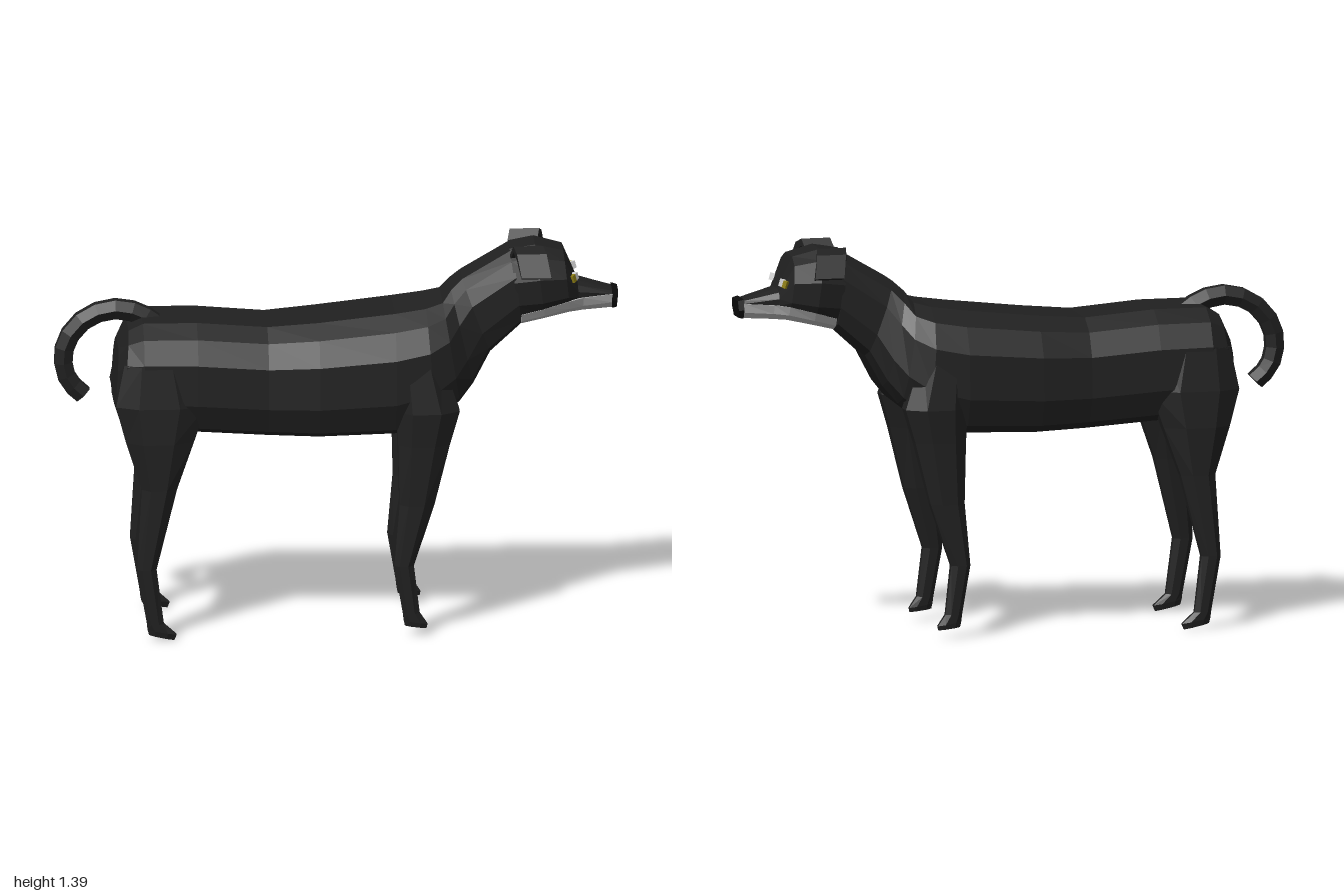
import * as THREE from 'three';

const paint = (color) => new THREE.MeshStandardMaterial({ color, flatShading: true });
const coat = paint(0x202020), pale = paint(0xb4b4b4), black = paint(0x0c0c0c);
const yellow = paint(0x8c7d14), white = paint(0xd8d8d8);

// Skin a row of equal-length rings of [x, y, z] points and cap both ends.
function loft(name, rings, material) {
  const n = rings[0].length, points = rings.flat(), index = [];
  rings.forEach((ring, r) => {
    if (r === rings.length - 1) return;
    for (let i = 0; i < n; i++) {
      const a = r * n + i, b = r * n + (i + 1) % n;
      index.push(a, b, a + n, b, b + n, a + n);
    }
  });
  const last = (rings.length - 1) * n;
  for (let i = 1; i < n - 1; i++) {
    index.push(0, i + 1, i, last, last + i, last + i + 1);
  }
  // Turn the faces outward whichever way the rings run
  const v = points.map((p) => new THREE.Vector3(...p));
  const origin = v[0];
  let volume = 0;
  for (let i = 0; i < index.length; i += 3) {
    const [a, b, c] = [0, 1, 2].map((k) => v[index[i + k]].clone().sub(origin));
    volume += a.dot(b.cross(c));
  }
  if (volume < 0) index.reverse();
  const geometry = new THREE.BufferGeometry().setFromPoints(v);
  geometry.setIndex(index);
  const flat = geometry.toNonIndexed();
  flat.computeVertexNormals();
  const mesh = new THREE.Mesh(flat, material);
  mesh.name = name;
  return mesh;
}

// Symmetric ring standing between a bottom and a top point; profile is [width, height] fractions.
function ribs(sections, profile) {
  return sections.map(([xb, yb, xt, yt, w]) => {
    const half = profile.map(([s, t]) => [xb + (xt - xb) * t, yb + (yt - yb) * t, s * w]);
    return [...half, ...half.slice().reverse().map(([x, y, z]) => [x, y, -z])];
  });
}

// Chamfered horizontal rings for a limb: y, back x, front x, inner z, outer z, slope.
function limb(name, sections, side) {
  const corners = [[0, 0.3], [0, 0.7], [0.25, 1], [0.7, 1], [1, 0.7], [1, 0.3], [0.7, 0], [0.25, 0]];
  return loft(name, sections.map(([y, x0, x1, z0, z1, drop = 0]) =>
    corners.map(([u, v]) => [x0 + (x1 - x0) * u, y - drop * u, side * (z0 + (z1 - z0) * v)])), coat);
}

export function createModel() {
  const dog = new THREE.Group();
  dog.name = 'dog';

  // Trunk, from rump to shoulders and up the neck
  dog.add(loft('body', ribs([
    [-0.79, 0.83, -0.775, 1.04, 0.15],
    [-0.77, 0.77, -0.74, 1.11, 0.2],
    [-0.69, 0.745, -0.69, 1.14, 0.23],
    [-0.5, 0.735, -0.5, 1.14, 0.23],
    [-0.25, 0.718, -0.25, 1.12, 0.225],
    [-0.07, 0.712, -0.07, 1.135, 0.245],
    [0.2, 0.72, 0.2, 1.165, 0.25],
    [0.34, 0.76, 0.31, 1.18, 0.242],
    [0.43, 0.83, 0.37, 1.195, 0.21],
    [0.48, 0.89, 0.4, 1.235, 0.165],
    [0.54, 1.0, 0.44, 1.27, 0.135],
    [0.65, 1.1, 0.62, 1.375, 0.13],
  ], [[0.52, 0], [0.86, 0.08], [1, 0.3], [0.98, 0.66], [0.8, 0.87], [0.5, 0.98]]), coat));

  // Skull and upper snout
  dog.add(loft('head', ribs([
    [0.64, 1.13, 0.61, 1.37, 0.13],
    [0.73, 1.14, 0.7, 1.385, 0.145],
    [0.82, 1.165, 0.8, 1.36, 0.125],
    [0.855, 1.175, 0.85, 1.245, 0.082],
    [0.975, 1.18, 0.975, 1.21, 0.052],
  ], [[0.75, 0], [0.96, 0.2], [1, 0.55], [0.82, 0.86], [0.42, 1]]), coat));

  // Pale jaw under the snout
  dog.add(loft('jaw', ribs([
    [0.65, 1.095, 0.65, 1.14, 0.11],
    [0.73, 1.115, 0.73, 1.165, 0.125],
    [0.82, 1.135, 0.82, 1.188, 0.112],
    [0.87, 1.138, 0.87, 1.192, 0.082],
    [0.975, 1.143, 0.975, 1.197, 0.056],
  ], [[0.5, 0], [0.85, 0.4], [1, 1]]), pale));
  dog.add(loft('nose', ribs([
    [0.973, 1.142, 0.973, 1.212, 0.055],
    [0.99, 1.145, 0.995, 1.206, 0.05],
  ], [[0.7, 0], [1, 0.45], [0.9, 1]]), black));

  for (const side of [1, -1]) {
    const label = side > 0 ? 'left' : 'right';

    dog.add(limb(label + 'FrontLeg', [
      [1.02, 0.2, 0.36, 0.1, 0.235],
      [0.82, 0.2, 0.425, 0.11, 0.257],
      [0.7, 0.207, 0.39, 0.13, 0.25],
      [0.48, 0.212, 0.335, 0.152, 0.241],
      [0.26, 0.193, 0.262, 0.178, 0.24],
      [0.085, 0.223, 0.283, 0.193, 0.233],
      [0.06, 0.226, 0.31, 0.195, 0.232, 0.015],
      [0.04, 0.23, 0.307, 0.2, 0.228, 0.01],
    ], side));
    dog.add(limb(label + 'HindLeg', [
      [1.0, -0.76, -0.52, 0.1, 0.225],
      [0.85, -0.79, -0.47, 0.105, 0.24],
      [0.72, -0.755, -0.515, 0.11, 0.243],
      [0.55, -0.7, -0.575, 0.142, 0.24],
      [0.26, -0.717, -0.648, 0.176, 0.24],
      [0.06, -0.682, -0.622, 0.193, 0.233],
      [0.04, -0.68, -0.577, 0.195, 0.232, 0.02],
      [0.02, -0.675, -0.585, 0.2, 0.228, 0.02],
    ], side));

    // Folded ear: a thin strip that rises, bends over and hangs outward
    const fold = [[0.085, 1.345, 0.61], [0.115, 1.383, 0.62], [0.155, 1.365, 0.63], [0.19, 1.295, 0.645]];
    dog.add(loft(label + 'Ear', fold.map(([z, y, x], i) => {
      const dz = i * 0.003, dy = i === 3 ? 0.004 : 0.012;
      return [[x, y - dy, (z - dz) * side], [x + 0.105, y - dy, (z - dz) * side],
        [x + 0.105, y + dy, (z + dz) * side], [x, y + dy, (z + dz) * side]];
    }), coat));

    // Slanted eye with a pale inner corner
    const eye = new THREE.Group();
    eye.name = label + 'Eye';
    [['iris', yellow, 0.008], ['eyeWhite', white, -0.01]].forEach(([name, material, z]) => {
      const mesh = new THREE.Mesh(new THREE.BoxGeometry(0.018, 0.026, 0.018), material);
      mesh.name = name;
      mesh.position.z = z * side;
      eye.add(mesh);
    });
    eye.position.set(0.835, 1.268, 0.084 * side);
    eye.rotation.set(side * 0.25, -side * 0.5, 0.3);
    dog.add(eye);
  }

  // Curled tail, six-sided and slightly tapered
  const path = new THREE.CatmullRomCurve3([
    [-0.64, 1.1], [-0.7, 1.14], [-0.79, 1.157], [-0.885, 1.125], [-0.95, 1.05],
    [-0.966, 0.97], [-0.945, 0.895], [-0.895, 0.845],
  ].map(([x, y]) => new THREE.Vector3(x, y, 0)));
  const tail = [];
  for (let i = 0; i <= 11; i++) {
    const p = path.getPoint(i / 11), t = path.getTangent(i / 11);
    const r = 0.037 - 0.004 * i / 11, ring = [];
    for (let k = 0; k < 6; k++) {
      const a = k * Math.PI / 3, u = Math.sin(a) * r * 1.1;
      ring.push([p.x - t.y * u, p.y + t.x * u, Math.cos(a) * r]);
    }
    tail.push(ring);
  }
  dog.add(loft('tail', tail, coat));

  return dog;
}
